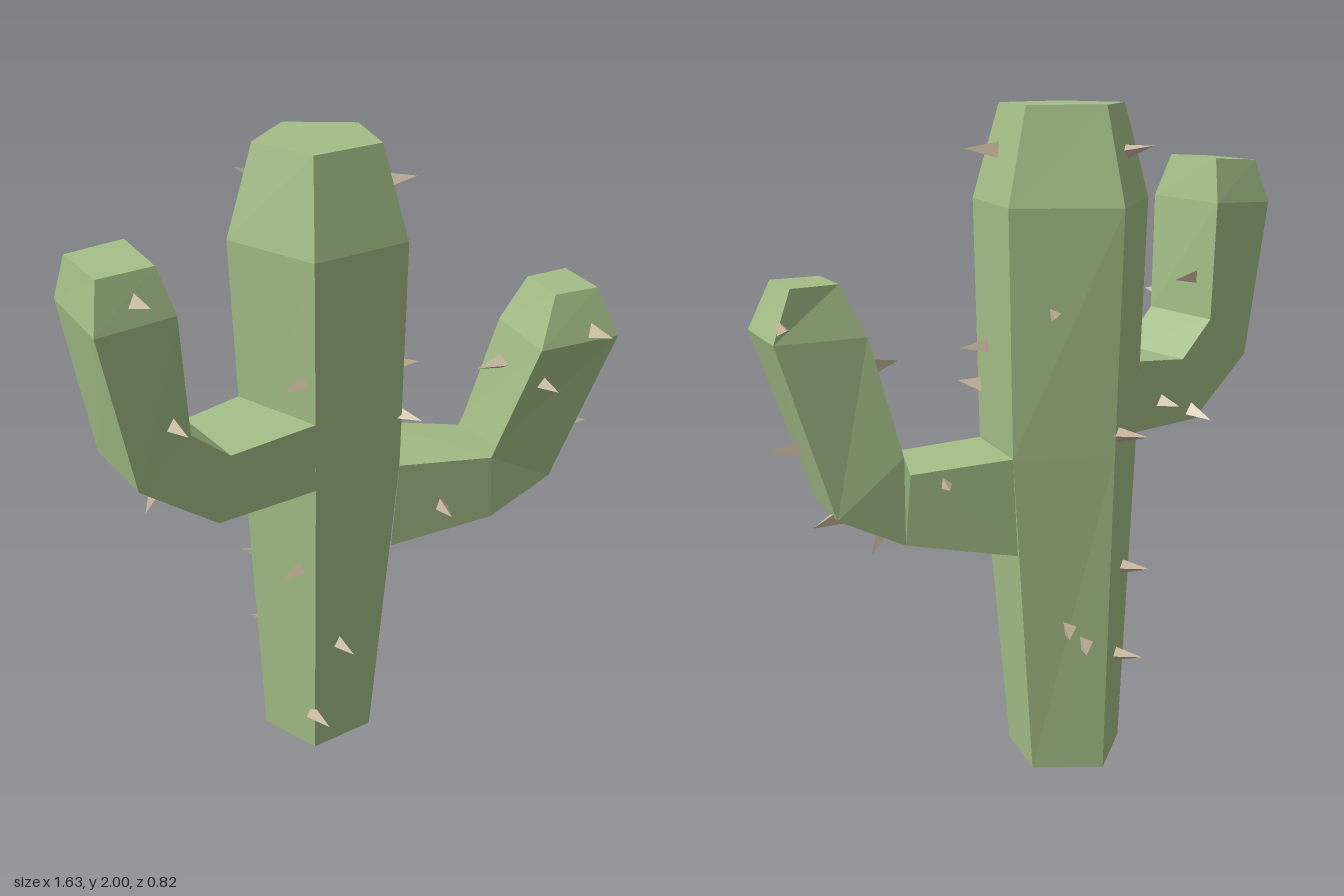
import * as THREE from 'three';

const green = new THREE.MeshStandardMaterial({ color: 0xa3bd86, flatShading: true });
const tan = new THREE.MeshStandardMaterial({ color: 0xc9b89e, flatShading: true });

// Skins a list of rings (counter-clockwise seen from the growing end) with flat facets
function loft(name, rings, capStart) {
  const pos = [];
  const tri = (a, b, c) => pos.push(...a, ...b, ...c);
  const n = rings[0].length;
  for (let k = 0; k < rings.length - 1; k++) {
    for (let i = 0; i < n; i++) {
      const j = (i + 1) % n;
      const lo = rings[k], hi = rings[k + 1];
      tri(lo[i], lo[j], hi[j]);
      tri(lo[i], hi[j], hi[i]);
    }
  }
  const first = rings[0], last = rings[rings.length - 1];
  for (let i = 1; i < n - 1; i++) {
    tri(last[0], last[i], last[i + 1]);
    if (capStart) tri(first[0], first[i + 1], first[i]);
  }
  const geo = new THREE.BufferGeometry();
  geo.setAttribute('position', new THREE.Float32BufferAttribute(pos, 3));
  geo.computeVertexNormals();
  const mesh = new THREE.Mesh(geo, green);
  mesh.name = name;
  return mesh;
}

// Five-sided trunk ring: back ridge, left side, front pair, right side
const trunkRing = (y, [bx, bz], [sl, sr, sz], [fl, fr, fz]) =>
  [[bx, y, bz], [sl, y, sz], [fl, y, fz], [fr, y, fz], [sr, y, sz]];

// Base point and pointing direction of every spine
const trunkSpines = [
  [[-0.06, 0.41, 0.06], [0, 0, 1]],
  [[-0.145, 0.145, 0.045], [0, 0, 1]],
  [[-0.18, 1.36, 0.06], [-0.95, 0, 0.3]],
  [[-0.18, 0.71, 0.02], [-0.95, 0, 0.3]],
  [[-0.22, 1.0, -0.1], [-0.95, 0, 0.3]],
  [[0.16, 1.87, -0.01], [0.93, 0.1, 0.3]],
  [[0.17, 1.31, 0.01], [0.95, 0, 0.3]],
  [[0.14, 1.18, 0.08], [0.4, 0, 0.9]],
  [[0.13, 1.44, -0.25], [0.6, 0, -0.8]],
  [[0.07, 0.48, -0.25], [0.6, 0, -0.8]],
  [[0.03, 0.43, -0.28], [0.6, 0, -0.8]],
  [[-0.04, 1.08, -0.34], [-0.6, 0, -0.8]],
  [[-0.15, 0.62, -0.24], [-0.6, 0, -0.8]],
  [[-0.12, 0.34, -0.25], [-0.6, 0, -0.8]],
  [[-0.11, 1.87, -0.26], [-0.6, 0.2, -0.75]],
];
const tallArmSpines = [
  [[-0.70, 1.74, 0.11], [0, 0.15, 1]],
  [[-0.62, 1.375, 0.11], [0, 0, 1]],
  [[-0.57, 1.455, -0.09], [1, -0.05, 0]],
  [[-0.60, 1.10, -0.06], [-0.5, -0.85, 0]],
  [[-0.48, 1.05, -0.18], [-0.1, -0.2, -1]],
  [[-0.35, 1.10, -0.18], [0, 0, -1]],
];
const shortArmSpines = [
  [[0.68, 1.405, 0.33], [-0.1, 0.15, 1]],
  [[0.54, 1.255, 0.27], [-0.1, 0, 1]],
  [[0.28, 0.845, 0.13], [-0.25, 0, 1]],
  [[0.785, 1.42, 0.10], [0.3, 0.15, -0.95]],
  [[0.70, 1.05, 0.21], [1, -0.1, 0.2]],
  [[0.67, 0.88, 0.05], [1, -0.2, -0.1]],
  [[0.49, 0.79, 0.10], [0.4, -0.9, 0.1]],
  [[0.49, 1.275, 0.125], [-1, 0.05, 0]],
  [[0.39, 0.96, -0.08], [0.4, 0, -0.9]],
];

const spineGeo = new THREE.ConeGeometry(0.028, 0.1, 3);
spineGeo.translate(0, 0.035, 0); // root sunk slightly below the skin

function spines(name, list) {
  const group = new THREE.Group();
  group.name = name;
  const up = new THREE.Vector3(0, 1, 0);
  for (const [p, d] of list) {
    const spine = new THREE.Mesh(spineGeo, tan);
    spine.name = 'spine';
    spine.position.set(...p);
    spine.quaternion.setFromUnitVectors(up, new THREE.Vector3(...d).normalize());
    // turn a corner of the base upward on front-facing spines
    if (d[2] > 0.8) spine.rotateY(Math.PI);
    group.add(spine);
  }
  return group;
}

export function createModel() {
  const cactus = new THREE.Group();
  cactus.name = 'cactus';

  // Trunk widens upward, then tapers to a blunt top
  cactus.add(loft('trunk', [
    trunkRing(0, [-0.035, -0.295], [-0.21, 0.14, -0.165], [-0.145, 0.075, 0.04]),
    trunkRing(1.02, [-0.02, -0.345], [-0.247, 0.225, -0.185], [-0.165, 0.14, 0.095]),
    trunkRing(1.73, [-0.012, -0.38], [-0.27, 0.24, -0.19], [-0.17, 0.145, 0.11]),
    trunkRing(2, [-0.012, -0.3], [-0.19, 0.165, -0.17], [-0.125, 0.1, 0.04]),
  ], true));

  // Tall arm: root, elbow, bend, shoulder, tip
  cactus.add(loft('tallArm', [
    [[-0.247, 1.02, -0.185], [-0.165, 1.02, 0.095], [-0.167, 1.24, 0.1], [-0.254, 1.24, -0.187]],
    [[-0.50, 1.02, -0.18], [-0.49, 1.02, 0.095], [-0.44, 1.22, 0.09], [-0.44, 1.22, -0.18]],
    [[-0.72, 1.20, -0.175], [-0.73, 1.20, 0.1], [-0.57, 1.33, 0.11], [-0.56, 1.33, -0.175]],
    [[-0.80, 1.68, -0.175], [-0.82, 1.67, 0.11], [-0.60, 1.69, 0.135], [-0.573, 1.69, -0.175]],
    [[-0.78, 1.81, -0.13], [-0.79, 1.81, 0.08], [-0.635, 1.82, 0.1], [-0.61, 1.82, -0.125]],
  ]));

  // Short arm, swinging forward as it rises
  cactus.add(loft('shortArm', [
    [[0.125, 0.72, 0.08], [0.205, 0.72, -0.18], [0.225, 1.02, -0.185], [0.14, 1.01, 0.095]],
    [[0.445, 0.77, 0.18], [0.50, 0.78, -0.04], [0.485, 0.99, -0.05], [0.43, 0.99, 0.185]],
    [[0.64, 0.88, 0.225], [0.69, 0.88, 0.01], [0.495, 1.04, -0.035], [0.438, 1.04, 0.2]],
    [[0.765, 1.38, 0.345], [0.815, 1.38, 0.095], [0.555, 1.38, 0.04], [0.495, 1.38, 0.305]],
    [[0.72, 1.525, 0.285], [0.75, 1.525, 0.11], [0.605, 1.525, 0.1], [0.575, 1.525, 0.26]],
  ]));

  cactus.add(
    spines('trunkSpines', trunkSpines),
    spines('tallArmSpines', tallArmSpines),
    spines('shortArmSpines', shortArmSpines),
  );
  return cactus;
}
